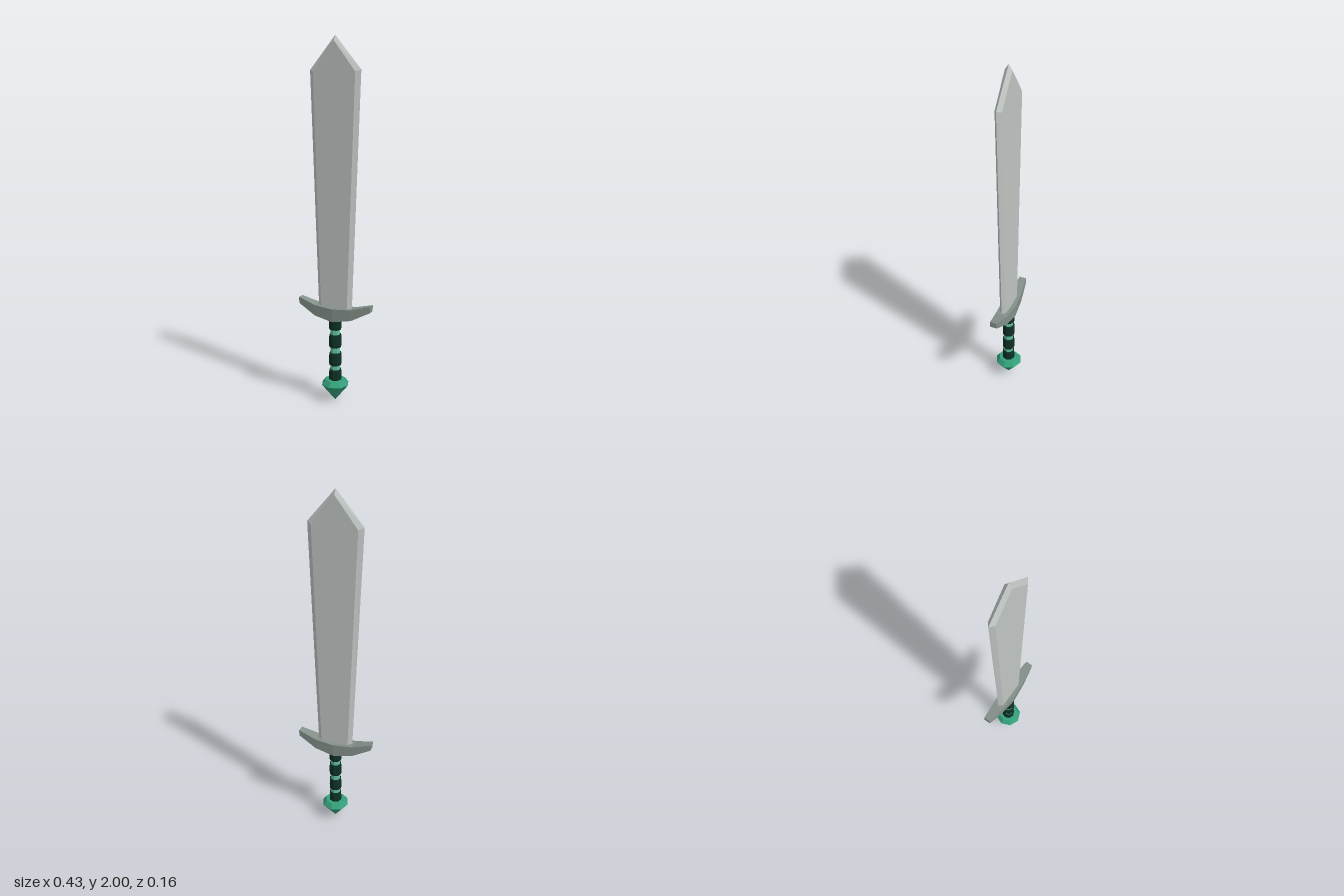
import * as THREE from 'three';

const material = (name, color) => {
  const m = new THREE.MeshStandardMaterial({ color });
  m.name = name;
  return m;
};

// Faceted solid through matching rings (counter-clockwise seen from the last ring), capped at both ends
function loft(rings) {
  const pos = [];
  const tri = (a, b, c) => pos.push(...a, ...b, ...c);
  const n = rings[0].length;
  for (let i = 0; i < rings.length - 1; i++) {
    const r = rings[i], s = rings[i + 1];
    for (let j = 0; j < n; j++) {
      const k = (j + 1) % n;
      tri(r[j], r[k], s[k]);
      tri(r[j], s[k], s[j]);
    }
  }
  const first = rings[0], last = rings[rings.length - 1];
  for (let j = 1; j < n - 1; j++) {
    tri(first[0], first[j + 1], first[j]);
    tri(last[0], last[j], last[j + 1]);
  }
  const g = new THREE.BufferGeometry();
  g.setAttribute('position', new THREE.Float32BufferAttribute(pos, 3));
  g.computeVertexNormals();
  return g;
}

// Eight-sided faceted turning from [radius, y] pairs, bottom to top
function turned(profile) {
  const g = new THREE.LatheGeometry(profile.map(([r, y]) => new THREE.Vector2(r, y)), 8).toNonIndexed();
  g.computeVertexNormals();
  return g;
}

export function createModel() {
  const steel = material('blade steel', 0xbfc5c3);
  const iron = material('guard iron', 0x84908a);
  const emerald = material('pommel emerald', 0x34a07a);
  const wrap = material('dark grip wrap', 0x0d3026);
  const mint = material('light grip core', 0x62bd9e);

  const sword = new THREE.Group();
  sword.name = 'sword';
  const add = (name, geometry, mat) => {
    const mesh = new THREE.Mesh(geometry, mat);
    mesh.name = name;
    sword.add(mesh);
  };

  // Blade: flat faces bevelled out to a sharp edge
  const outline = (base, shoulder, shoulderY, tipY, z) => [
    [base, 0.52, z], [shoulder, shoulderY, z], [0, tipY, z], [-shoulder, shoulderY, z], [-base, 0.52, z],
  ];
  add('blade', loft([
    outline(0.078, 0.122, 1.815, 1.972, -0.019),
    outline(0.1, 0.148, 1.825, 2, 0),
    outline(0.078, 0.122, 1.815, 1.972, 0.019),
  ]), steel);

  // Guard: upswept bar, thickest in the middle; stations are x, bottom, top, half depth
  const stations = [
    [-0.216, 0.545, 0.58, 0.02], [-0.11, 0.49, 0.55, 0.034], [0, 0.47, 0.543, 0.043],
    [0.11, 0.49, 0.55, 0.034], [0.216, 0.545, 0.58, 0.02],
  ];
  add('guard', loft(stations.map(([x, lo, hi, d]) => [
    [x, lo, -d], [x, hi, -d], [x, hi, d], [x, lo, d],
  ])), iron);

  // Grip: light core with four dark wrapped bands
  add('gripCore', turned([[0.029, 0.11], [0.029, 0.49]]), mint);
  const bands = [[0.12, 0.185], [0.21, 0.283], [0.315, 0.39], [0.418, 0.48]];
  bands.forEach(([lo, hi], i) => add(`gripBand${i + 1}`, turned([
    [0, lo], [0.033, lo], [0.037, lo + 0.012], [0.036, hi - 0.012], [0.033, hi], [0, hi],
  ]), wrap));

  // Pommel: cut gem tapering to a point
  add('pommel', turned([[0, 0], [0.078, 0.098], [0.058, 0.125], [0, 0.125]]), emerald);

  return sword;
}
